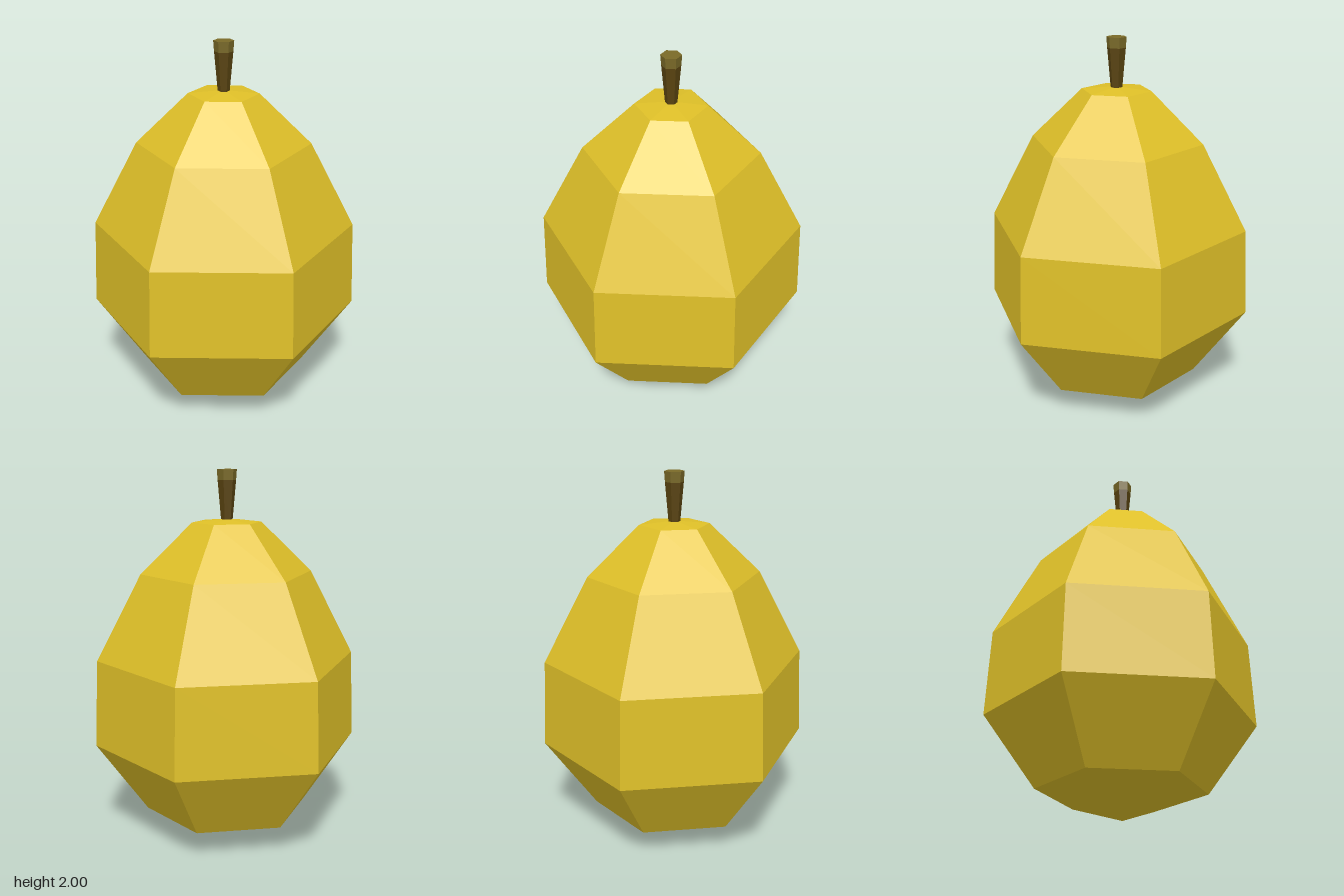
import * as THREE from 'three';

const skin = new THREE.MeshStandardMaterial({ name: 'yellow skin', color: 0xdfc028, flatShading: true });
const bark = new THREE.MeshStandardMaterial({ name: 'dark brown stem', color: 0x5a4410, flatShading: true });
const cut = new THREE.MeshStandardMaterial({ name: 'light brown stem tip', color: 0x7a6a28, flatShading: true });

// Six-sided solid of revolution with corners on the x axis, profile listed bottom to top
function hexLathe(name, profile, material) {
  const points = profile.map(([r, y]) => new THREE.Vector2(r, y));
  const mesh = new THREE.Mesh(new THREE.LatheGeometry(points, 6, Math.PI / 2), material);
  mesh.name = name;
  return mesh;
}

export function createModel() {
  const group = new THREE.Group();
  group.name = 'fruit';

  // Faceted body, pointed underneath with a shallow cap on top
  group.add(hexLathe('body', [
    [0, 0], [0.445, 0.15], [0.72, 0.53], [0.7, 1.0], [0.46, 1.46], [0.185, 1.727], [0, 1.745],
  ], skin));

  // Stem widening upward, with a lighter cut end
  group.add(hexLathe('stem', [[0.03, 1.73], [0.049, 1.945]], bark));
  group.add(hexLathe('stemTip', [[0.049, 1.945], [0.053, 2], [0, 2]], cut));

  return group;
}
